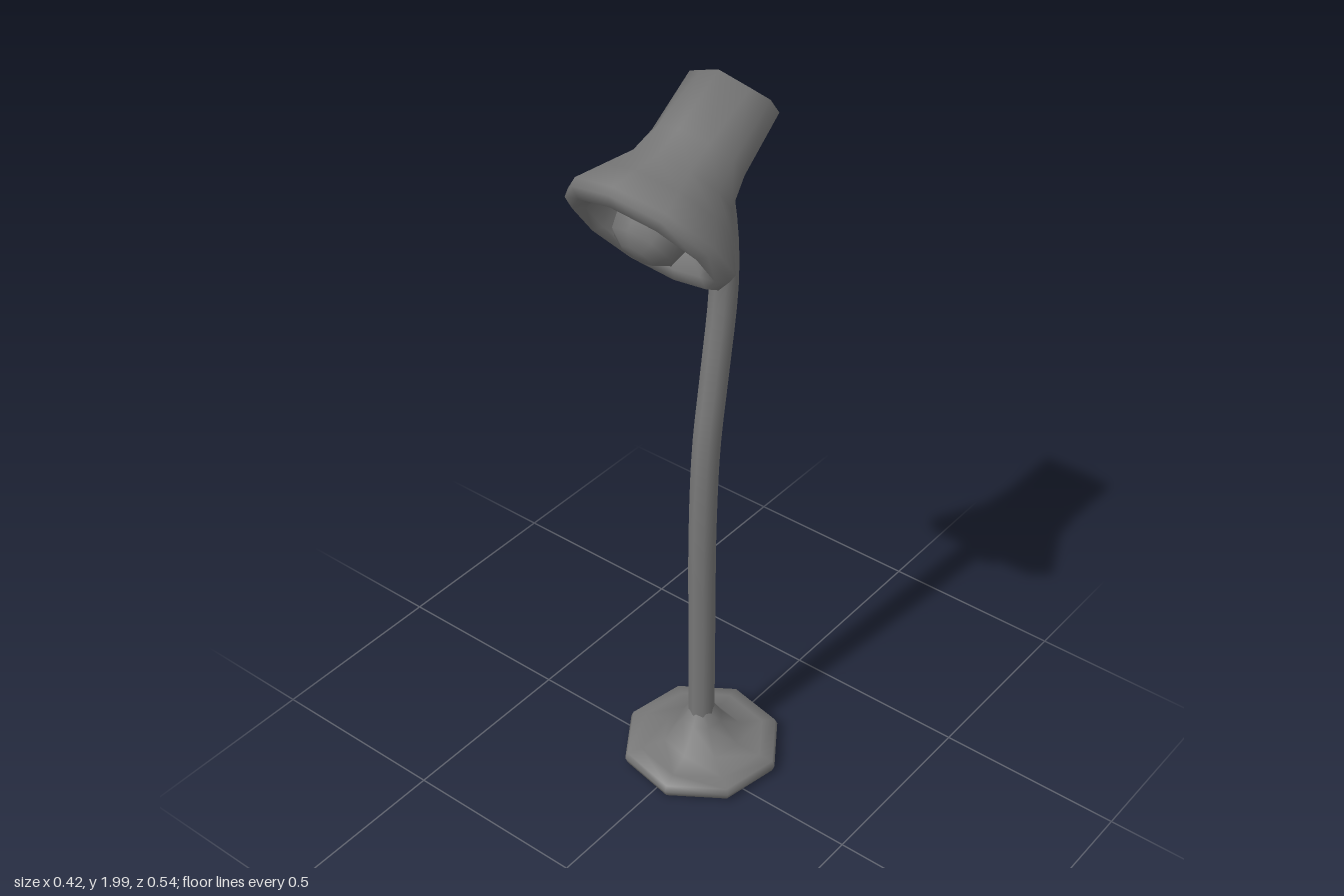
import * as THREE from 'three';
import { toCreasedNormals } from 'three/addons/utils/BufferGeometryUtils.js';

const material = new THREE.MeshStandardMaterial({ color: 0x777777, side: THREE.DoubleSide });
const SMOOTH = 1.8;

function addPart(parent, name, geometry) {
  const mesh = new THREE.Mesh(geometry, material);
  mesh.name = name;
  parent.add(mesh);
  return mesh;
}

// Turned part from [radius, height] pairs
function lathe(profile, sides) {
  return new THREE.LatheGeometry(profile.map(([r, y]) => new THREE.Vector2(r, y)), sides);
}

export function createModel() {
  const lamp = new THREE.Group();
  lamp.name = 'floorLamp';

  // Octagonal foot, hollow underneath, rising to a collar
  const foot = addPart(lamp, 'foot', toCreasedNormals(lathe([
    [0.03, 0.13], [0.08, 0.06], [0.15, 0.02], [0.185, 0.005], [0.208, 0.012],
    [0.215, 0.03], [0.208, 0.046], [0.17, 0.053], [0.105, 0.066], [0.055, 0.125], [0.03, 0.165],
  ], 8), SMOOTH));
  foot.position.z = -0.055;
  foot.rotation.y = 0.2;

  // Gently bent pole
  const path = new THREE.CatmullRomCurve3([
    [0.12, -0.052], [0.45, -0.052], [0.75, -0.053], [1.0, -0.066], [1.2, -0.096],
    [1.4, -0.126], [1.5, -0.13], [1.6, -0.121], [1.7, -0.102], [1.79, -0.075],
  ].map(([y, z]) => new THREE.Vector3(0, y, z)));
  addPart(lamp, 'pole', new THREE.TubeGeometry(path, 28, 0.035, 8));

  // Head: local +y points forward and down along the shade axis
  const head = new THREE.Group();
  head.name = 'head';
  head.position.set(0, 1.92, -0.158);
  head.rotation.x = 2.214;
  lamp.add(head);

  // Flared shade with a thick rolled lip and an inner wall
  const shade = lathe([
    [0, 0], [0.094, 0], [0.109, 0.16], [0.128, 0.24], [0.166, 0.3], [0.207, 0.365],
    [0.203, 0.385], [0.176, 0.4], [0.15, 0.385], [0.125, 0.32], [0.1, 0.24], [0.085, 0.05], [0, 0.05],
  ], 10);

  // The shade is slightly wide; its rear is wider still and pinched above and below
  const p = shade.attributes.position;
  for (let i = 0; i < p.count; i++) {
    const k = Math.max(0, 1 - p.getY(i) / 0.22);
    const r = Math.hypot(p.getX(i), p.getZ(i)) || 1;
    const side = Math.abs(p.getX(i)) / r;
    const pinch = 1 - 0.3 * k * Math.sin(Math.PI * side);
    p.setX(i, p.getX(i) * (1.035 + 0.215 * k));
    p.setZ(i, p.getZ(i) * pinch);
  }
  addPart(head, 'shade', toCreasedNormals(shade, SMOOTH));

  // Bulb with a neck reaching back into the shade
  addPart(head, 'bulb', toCreasedNormals(lathe([
    [0.035, 0.06], [0.04, 0.22], [0.075, 0.285], [0.092, 0.345], [0.078, 0.405], [0.04, 0.428], [0, 0.432],
  ], 8), SMOOTH));

  return lamp;
}
